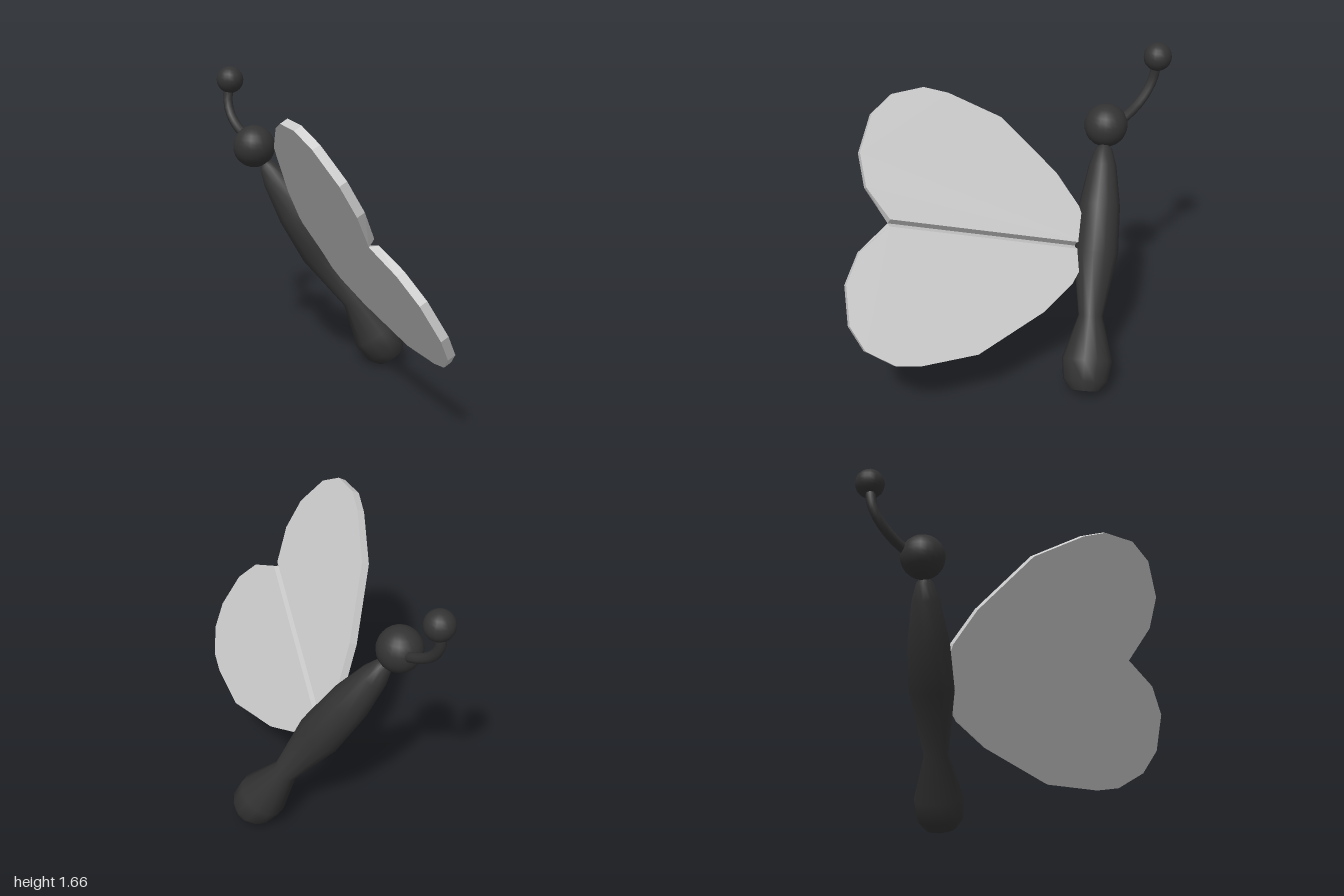
import * as THREE from 'three';
import { toCreasedNormals } from 'three/addons/utils/BufferGeometryUtils.js';

const v3 = (x, y, z) => new THREE.Vector3(x, y, z);

export function createModel() {
  const group = new THREE.Group();
  const dark = new THREE.MeshStandardMaterial({ color: 0x333333 });
  const grey = new THREE.MeshStandardMaterial({ color: 0xcccccc });

  const add = (name, geometry, material) => {
    const mesh = new THREE.Mesh(geometry, material);
    mesh.name = name;
    group.add(mesh);
    return mesh;
  };

  // Body: a lathe leaning from the tail end up to the head
  const tail = v3(0.518, 0.045, 0.05);
  const headCentre = v3(0.1, 1.25, -0.62);
  const profile = [
    [0, 0], [0.08, 0], [0.122, 0.054], [0.136, 0.165], [0.066, 0.4],
    [0.122, 0.743], [0.112, 1.0], [0.075, 1.22], [0.045, 1.31], [0, 1.36],
  ].map(([r, t]) => new THREE.Vector2(r, t));
  const body = add('body', toCreasedNormals(new THREE.LatheGeometry(profile, 12), 0.75), dark);
  body.position.copy(tail);
  body.quaternion.setFromUnitVectors(v3(0, 1, 0), headCentre.clone().sub(tail).normalize());

  // Head
  add('head', new THREE.SphereGeometry(0.118, 20, 14), dark).position.copy(headCentre);

  // Antenna: curved stalk with a ball at its tip
  const stalk = new THREE.CatmullRomCurve3([
    v3(0.13, 1.25, -0.66), v3(0.15, 1.277, -0.72), v3(0.165, 1.325, -0.815),
    v3(0.178, 1.39, -0.885), v3(0.19, 1.465, -0.92), v3(0.205, 1.56, -0.922),
  ]);
  add('antennaStalk', new THREE.TubeGeometry(stalk, 10, 0.027, 8), dark);
  add('antennaBall', new THREE.SphereGeometry(0.077, 16, 12), dark).position.set(0.21, 1.585, -0.92);

  // Wing pair: mirrored slabs meeting on a crease that runs from the outer notch to the body
  const outline = [
    [0, 0], [-0.14, 0.165], [-0.19, 0.335], [-0.15, 0.54], [-0.057, 0.656], [0.105, 0.717],
    [0.24, 0.708], [0.54, 0.625], [0.88, 0.375], [1.03, 0.21], [1.12, 0],
  ];
  const thickness = 0.045;
  const along = v3(0.544, -0.27, -0.794).normalize();
  const across = v3(0.785, 0.497, 0.37).cross(along).normalize();
  const facing = along.clone().cross(across);
  const place = new THREE.Matrix4().makeBasis(along, across, facing).setPosition(-0.32, 1.01, 0.62);

  for (const [name, side] of [['upperWing', 1], ['lowerWing', -1]]) {
    const shape = new THREE.Shape(outline.map(([u, v]) => new THREE.Vector2(u, v * side)));
    const wing = new THREE.ExtrudeGeometry(shape, { depth: thickness, bevelEnabled: false });
    wing.translate(0, 0, -thickness);
    // Draw the front edge back from the crease to open a shallow groove
    const p = wing.attributes.position;
    for (let i = 0; i < p.count; i++) {
      if (Math.abs(p.getY(i)) < 1e-5 && p.getZ(i) > -1e-5) p.setY(i, side * 0.018);
    }
    wing.computeVertexNormals();
    wing.applyMatrix4(place);
    add(name, wing, grey);
  }

  return group;
}
